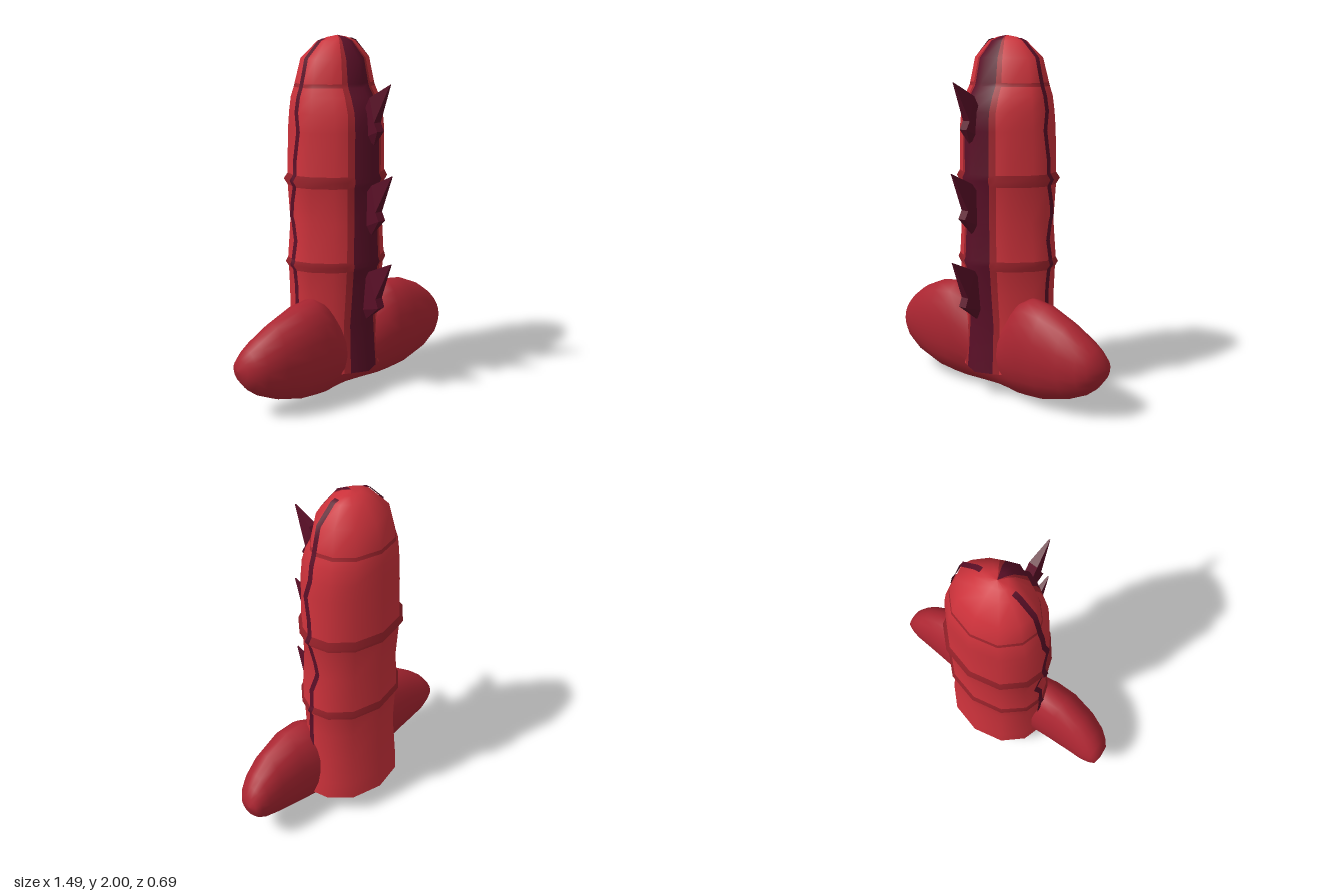
import * as THREE from 'three';

const mat = (name, color, side = THREE.FrontSide) => {
  const m = new THREE.MeshStandardMaterial({ color, side });
  m.name = name;
  return m;
};

// Smooth skin over closed rings; pick(row, column) chooses the material index.
function loft(rings, pick = () => 0) {
  const n = rings[0].length, bins = [];
  for (let i = 0; i < rings.length - 1; i++) {
    for (let j = 0; j < n; j++) {
      const k = (j + 1) % n, a = i * n, b = a + n;
      const bin = (bins[pick(i, j)] ??= []);
      bin.push(a + j, a + k, b + k, a + j, b + k, b + j);
    }
  }
  const g = new THREE.BufferGeometry();
  g.setAttribute('position', new THREE.Float32BufferAttribute(rings.flat(2), 3));
  g.setIndex(bins.flat());
  let start = 0;
  bins.forEach((bin, m) => { g.addGroup(start, bin.length, m); start += bin.length; });
  g.computeVertexNormals();
  return g;
}

const CZ = -0.08;
// Column levels: height, half width, back z, front z
const ROWS = [
  [0.14, 0.32, -0.345, 0.18], [0.25, 0.31, -0.335, 0.17], [0.42, 0.295, -0.32, 0.16],
  [0.6, 0.295, -0.315, 0.18], [0.735, 0.3, -0.32, 0.195], [0.765, 0.318, -0.335, 0.21],
  [0.79, 0.305, -0.32, 0.2], [1.0, 0.285, -0.315, 0.195], [1.2, 0.298, -0.325, 0.2],
  [1.235, 0.32, -0.345, 0.22], [1.265, 0.298, -0.325, 0.205], [1.5, 0.293, -0.317, 0.205],
  [1.6, 0.283, -0.315, 0.195], [1.68, 0.27, -0.31, 0.16], [1.73, 0.252, -0.298, 0.125],
  [1.75, 0.247, -0.293, 0.118], [1.88, 0.215, -0.255, 0.09], [1.97, 0.12, -0.17, 0.015],
  [1.99, 0.06, -0.12, -0.03], [2.0, 0, -0.08, -0.08],
];
// Half of the keeled cross-section: width fraction, depth fraction (front positive)
const HALF = [[0, 1], [0.3, 0.84], [0.41, 0.77], [0.62, 0.64], [0.9, 0.28], [1, 0],
  [0.9, -0.45], [0.56, -0.84], [0, -1]];
const SECTION = [...HALF, ...HALF.slice(1, -1).reverse().map(([x, d]) => [-x, d])];

const columnRing = ([y, w, back, front]) =>
  SECTION.map(([x, d]) => [x * w, y, CZ + (d > 0 ? d * (front - CZ) : d * (CZ - back))]);

// Value of a sorted table (first entry = key) at y
function lookup(table, y, c) {
  let i = 1;
  while (i < table.length - 1 && table[i][0] < y) i++;
  const [p, q] = [table[i - 1], table[i]];
  return THREE.MathUtils.lerp(p[c], q[c], THREE.MathUtils.clamp((y - p[0]) / (q[0] - p[0]), 0, 1));
}

// Wandering line on the flank: height, z
const SEAM = [[0.5, -0.085], [0.65, -0.085], [0.8, -0.1], [0.9, -0.09], [1.03, -0.13], [1.1, -0.12],
  [1.2, -0.09], [1.35, -0.085], [1.5, -0.06], [1.6, -0.085], [1.8, -0.08], [1.98, -0.08]];

function seamGeometry(side) {
  const ys = [...new Set([...ROWS, ...SEAM].map(r => r[0]))].filter(y => y >= 0.5 && y <= 1.98).sort((a, b) => a - b);
  const pos = [], idx = [];
  ys.forEach((y, i) => {
    const x = side * (lookup(ROWS, y, 1) + 0.004), z = lookup(SEAM, y, 1), h = 0.015;
    pos.push(x, y + 0.003, z - h, x, y + 0.003, z + h);
    const a = i * 2;
    if (i) idx.push(a - 2, a, a - 1, a - 1, a, a + 1);
  });
  const g = new THREE.BufferGeometry();
  g.setAttribute('position', new THREE.Float32BufferAttribute(pos, 3));
  g.setIndex(side > 0 ? idx : idx.map((_, k) => idx[k - (k % 3) + 2 - (k % 3)]));
  g.computeVertexNormals();
  return g;
}

// Thin double-pointed fin, narrowing at its top and bottom points
function finGeometry(outline) {
  const shape = new THREE.Shape(outline.map(([z, y]) => new THREE.Vector2(z, y)));
  const g = new THREE.ExtrudeGeometry(shape, { depth: 0.05, bevelEnabled: false });
  g.translate(0, 0, -0.025).rotateY(-Math.PI / 2);
  g.computeBoundingBox();
  const { min, max } = g.boundingBox, p = g.attributes.position;
  for (let i = 0; i < p.count; i++) {
    const t = (p.getY(i) - min.y) / (max.y - min.y);
    if (t < 0.1 || t > 0.95) p.setX(i, p.getX(i) * 0.15);
  }
  g.computeVertexNormals();
  return g;
}

// Base lobe sections: x, bottom, top, back z, front z
const LOBE = [
  [0, 0, 0.42, -0.26, 0.1], [0.1, 0.008, 0.47, -0.22, 0.12], [0.2, 0.022, 0.56, -0.16, 0.155],
  [0.28, 0.03, 0.59, -0.14, 0.162], [0.4, 0.045, 0.575, -0.13, 0.168], [0.55, 0.085, 0.51, -0.12, 0.145],
  [0.65, 0.13, 0.44, -0.115, 0.11], [0.7, 0.17, 0.395, -0.105, 0.075], [0.735, 0.22, 0.345, -0.09, 0.035],
  [0.745, 0.28, 0.28, -0.04, -0.04],
];

function lobeRing([x, y0, y1, z0, z1]) {
  return Array.from({ length: 20 }, (_, j) => {
    const t = (j / 20) * Math.PI * 2;
    return [x, (y0 + y1) / 2 + Math.cos(t) * (y1 - y0) / 2, (z0 + z1) / 2 + Math.sin(t) * (z1 - z0) / 2];
  });
}

export function createModel() {
  const red = mat('bright red', 0xcd323b);
  const trim = mat('trim red', 0xa0242d);
  const base = mat('base red', 0xaa2531);
  const dark = mat('dark maroon', 0x5a0f27, THREE.DoubleSide);
  const model = new THREE.Group();
  const add = (name, geometry, material) => {
    const mesh = new THREE.Mesh(geometry, material);
    mesh.name = name;
    model.add(mesh);
  };

  // Column with keel stripe, edging and ring bands
  const bands = new Set([4, 5, 8, 9, 14]);
  const last = SECTION.length - 1;
  add('column', loft(ROWS.map(columnRing), (i, j) => {
    const c = Math.min(j, last - j);
    return c === 0 ? 2 : c === 1 || bands.has(i) ? 1 : 0;
  }), [red, trim, dark]);

  // Underside of the column, slightly hollow
  const rim = columnRing(ROWS[0]);
  add('columnUnderside', loft([rim.map(() => [0, 0.2, CZ]), rim]), red);

  // Wide two-lobed base
  const mirrored = LOBE.slice(1).reverse().map(([x, ...r]) => [-x, ...r]);
  add('base', loft([...mirrored, ...LOBE].map(lobeRing)), base);

  // Flank seams
  add('leftSeam', seamGeometry(1), dark);
  add('rightSeam', seamGeometry(-1), dark);

  // Front fins: z, y outlines
  [
    ['upperFin', [[0.33, 1.76], [0.2, 1.685], [0.15, 1.6], [0.16, 1.47], [0.215, 1.435], [0.26, 1.51], [0.235, 1.555]]],
    ['middleFin', [[0.35, 1.285], [0.22, 1.22], [0.16, 1.15], [0.16, 0.98], [0.2, 0.94], [0.275, 1.03], [0.25, 1.075]]],
    ['lowerFin', [[0.35, 0.805], [0.2, 0.735], [0.15, 0.65], [0.14, 0.5], [0.165, 0.45], [0.275, 0.54], [0.255, 0.59]]],
  ].forEach(([name, outline]) => add(name, finGeometry(outline), dark));

  return model;
}
